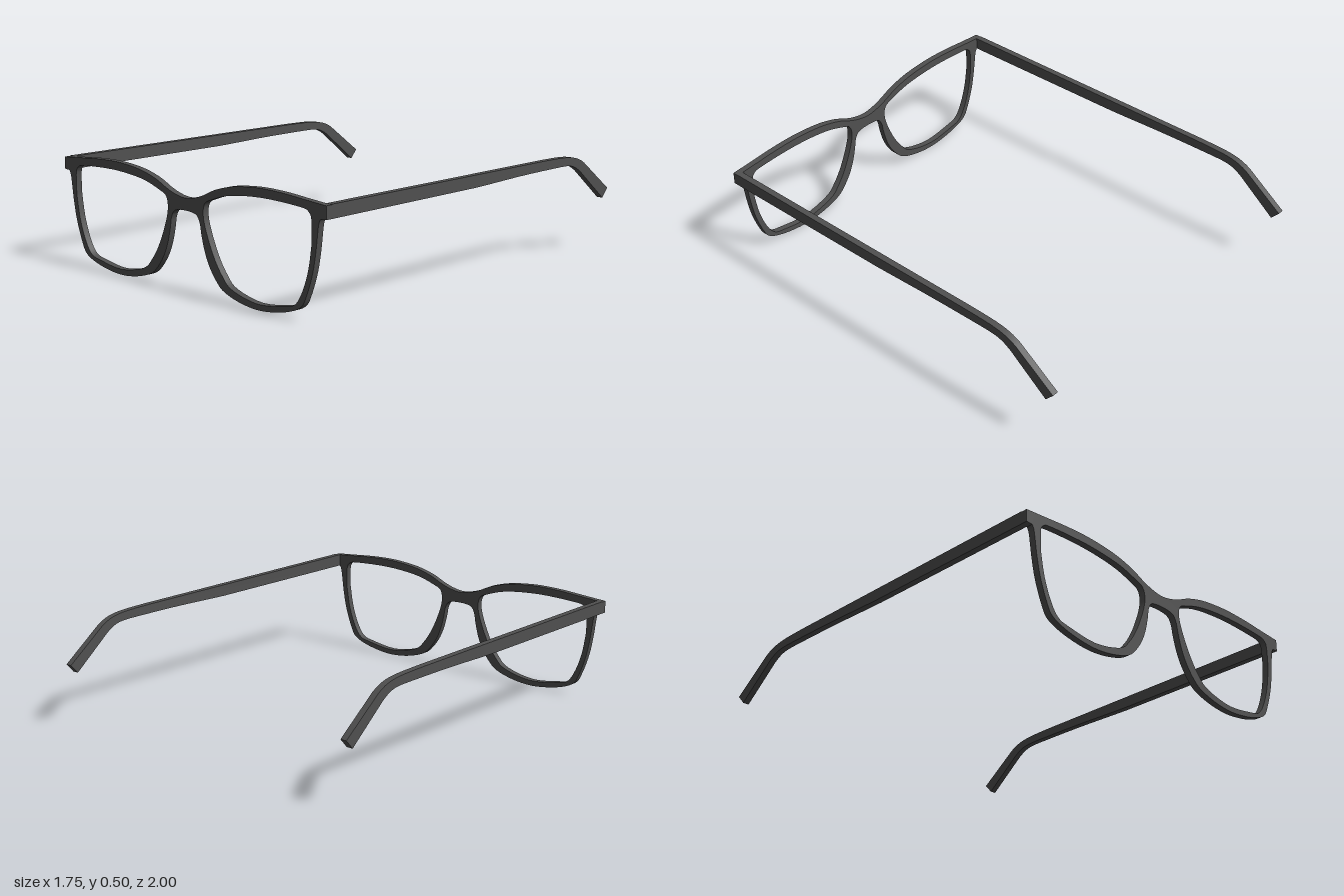
import * as THREE from 'three';
import { toCreasedNormals } from 'three/addons/utils/BufferGeometryUtils.js';

const THICK = 0.03;
const HALF_WIDTH = 0.818;
const vecs = (pts, side = 1) => pts.map(([x, y]) => new THREE.Vector2(side * x, y));

// Upper rim, from the hinge to the middle of the bridge
const TOP = [[0.818, 0.484], [0.7, 0.493], [0.584, 0.502], [0.467, 0.505], [0.374, 0.5],
  [0.28, 0.488], [0.187, 0.463], [0.117, 0.432], [0.06, 0.413], [0, 0.404]];
// Lower rim, from the hinge around the lens to the middle of the bridge
const BOTTOM = [[0.787, 0.427], [0.776, 0.4], [0.762, 0.297], [0.743, 0.203], [0.71, 0.11],
  [0.678, 0.057], [0.607, 0.026], [0.514, 0.007], [0.425, 0.001], [0.327, 0.012], [0.234, 0.04],
  [0.187, 0.077], [0.145, 0.133], [0.117, 0.194], [0.098, 0.264], [0.089, 0.31],
  [0.065, 0.343], [0, 0.351]];
// Lens opening
const LENS = [[0.738, 0.32], [0.738, 0.414], [0.724, 0.446], [0.678, 0.46], [0.467, 0.467],
  [0.28, 0.451], [0.164, 0.418], [0.121, 0.395], [0.112, 0.343], [0.131, 0.273], [0.173, 0.18],
  [0.22, 0.11], [0.28, 0.058], [0.43, 0.026], [0.584, 0.044], [0.645, 0.063], [0.687, 0.124],
  [0.72, 0.217], [0.738, 0.32]];

function extrude(shape, curveSegments) {
  const geo = new THREE.ExtrudeGeometry(shape, { depth: THICK, bevelEnabled: false, curveSegments });
  geo.translate(0, 0, -THICK / 2);
  return toCreasedNormals(geo, 0.6);
}

// Front frame: both rims and the bridge in one plate
function frontGeometry() {
  const shape = new THREE.Shape();
  shape.moveTo(HALF_WIDTH, 0.484);
  shape.splineThru([...vecs(TOP.slice(1)), ...vecs(TOP, -1).reverse().slice(1)]);
  shape.lineTo(-HALF_WIDTH, 0.428);
  shape.lineTo(-BOTTOM[0][0], BOTTOM[0][1]);
  shape.splineThru([...vecs(BOTTOM.slice(1), -1), ...vecs(BOTTOM).reverse().slice(1)]);
  shape.lineTo(HALF_WIDTH, 0.428);
  shape.closePath();
  for (const side of [1, -1]) {
    const [first, ...rest] = vecs(LENS, side);
    const hole = new THREE.Path();
    hole.moveTo(first.x, first.y);
    hole.splineThru(rest);
    shape.holes.push(hole);
  }
  return extrude(shape, 4);
}

// Temple arm: side profile (distance back, height) with the bent ear tip
function armGeometry() {
  const shape = new THREE.Shape();
  shape.moveTo(THICK / 2, 0.428);
  shape.lineTo(0.9, 0.428);
  shape.bezierCurveTo(1.1, 0.432, 1.15, 0.438, 1.45, 0.438);
  shape.bezierCurveTo(1.58, 0.438, 1.6, 0.44, 1.66, 0.4);
  shape.lineTo(1.848, 0.25);
  shape.lineTo(1.886, 0.292);
  shape.lineTo(1.69, 0.437);
  shape.bezierCurveTo(1.62, 0.48, 1.56, 0.478, 1.4, 0.481);
  shape.lineTo(THICK / 2, 0.486);
  shape.closePath();
  return extrude(shape, 10).rotateY(Math.PI / 2);
}

export function createModel() {
  const model = new THREE.Group();
  model.name = 'glasses';
  const material = new THREE.MeshStandardMaterial({ color: 0x505050 });

  const front = new THREE.Mesh(frontGeometry(), material);
  front.name = 'frontFrame';
  model.add(front);

  const armGeo = armGeometry();
  for (const [name, side] of [['leftArm', 1], ['rightArm', -1]]) {
    const arm = new THREE.Mesh(armGeo, material);
    arm.name = name;
    arm.position.x = side * (HALF_WIDTH - THICK / 2);
    model.add(arm);
  }

  // The glasses rest slightly turned
  model.rotation.y = 0.061;
  model.position.set(0.054, 0, 0.935);

  const root = new THREE.Group();
  root.add(model);
  return root;
}
